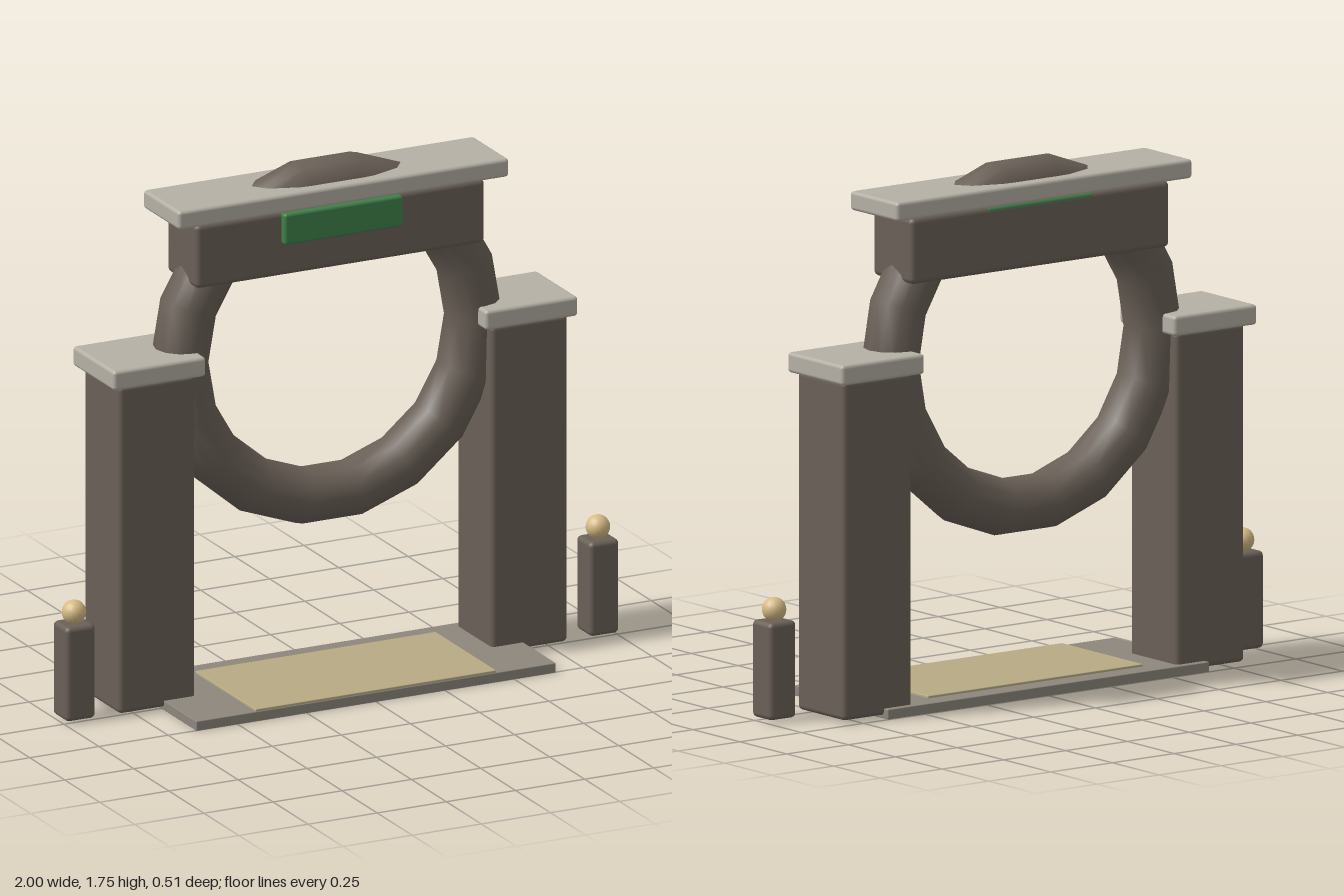
import * as THREE from 'three';
import { RoundedBoxGeometry } from 'three/addons/geometries/RoundedBoxGeometry.js';

const paint = (color) => new THREE.MeshStandardMaterial({ color });

export function createModel() {
  const model = new THREE.Group();
  const stone = paint(0x6a6057);
  const capStone = paint(0xb5b0a5);
  const paving = paint(0x8d877c);
  const sand = paint(0xb8ab84);
  const green = paint(0x3f8049);
  const lampGlow = paint(0xd6bb85);

  const add = (name, geometry, material, x, y, z) => {
    const mesh = new THREE.Mesh(geometry, material);
    mesh.name = name;
    mesh.position.set(x, y, z);
    model.add(mesh);
    return mesh;
  };

  // Box given by its lower and upper limits, with softened edges
  const block = (name, material, [x0, x1], [y0, y1], [z0, z1], r = 0.012) =>
    add(name, new RoundedBoxGeometry(x1 - x0, y1 - y0, z1 - z0, 2, r), material,
      (x0 + x1) / 2, (y0 + y1) / 2, (z0 + z1) / 2);

  // Paving slab with the walkway set into it
  block('baseSlab', paving, [-0.65, 0.65], [0, 0.033], [-0.25, 0.255], 0.003);
  block('walkway', sand, [-0.435, 0.435], [0.005, 0.041], [-0.18, 0.253], 0.003);

  // Pillars, their caps and the lamp posts on both sides
  for (const [side, s] of [['left', 1], ['right', -1]]) {
    const span = (a, b) => (s > 0 ? [a, b] : [-b, -a]);
    block(side + 'Pillar', stone, span(0.535, 0.812), [0.01, 1.125], [-0.228, 0.023], 0.016);
    block(side + 'PillarCap', capStone, span(0.505, 0.84), [1.12, 1.187], [-0.257, 0.04]);
    block(side + 'LampPost', stone, span(0.893, 1), [0.01, 0.33], [-0.085, 0.02], 0.016);
    add(side + 'Lamp', new THREE.SphereGeometry(0.04, 16, 12), lampGlow, s * 0.947, 0.365, -0.033);
  }

  // Round gate opening
  add('ringArch', new THREE.TorusGeometry(0.531, 0.094, 12, 18), stone, 0, 1.133, -0.103);

  // Lintel, its sign panel and the roof slab
  block('lintel', stone, [-0.523, 0.523], [1.407, 1.625], [-0.21, 0.003], 0.018);
  block('signPanel', green, [-0.215, 0.215], [1.517, 1.623], [-0.209, 0.027], 0.01);
  block('roofSlab', capStone, [-0.598, 0.598], [1.627, 1.69], [-0.231, 0.025]);

  return model;
}
